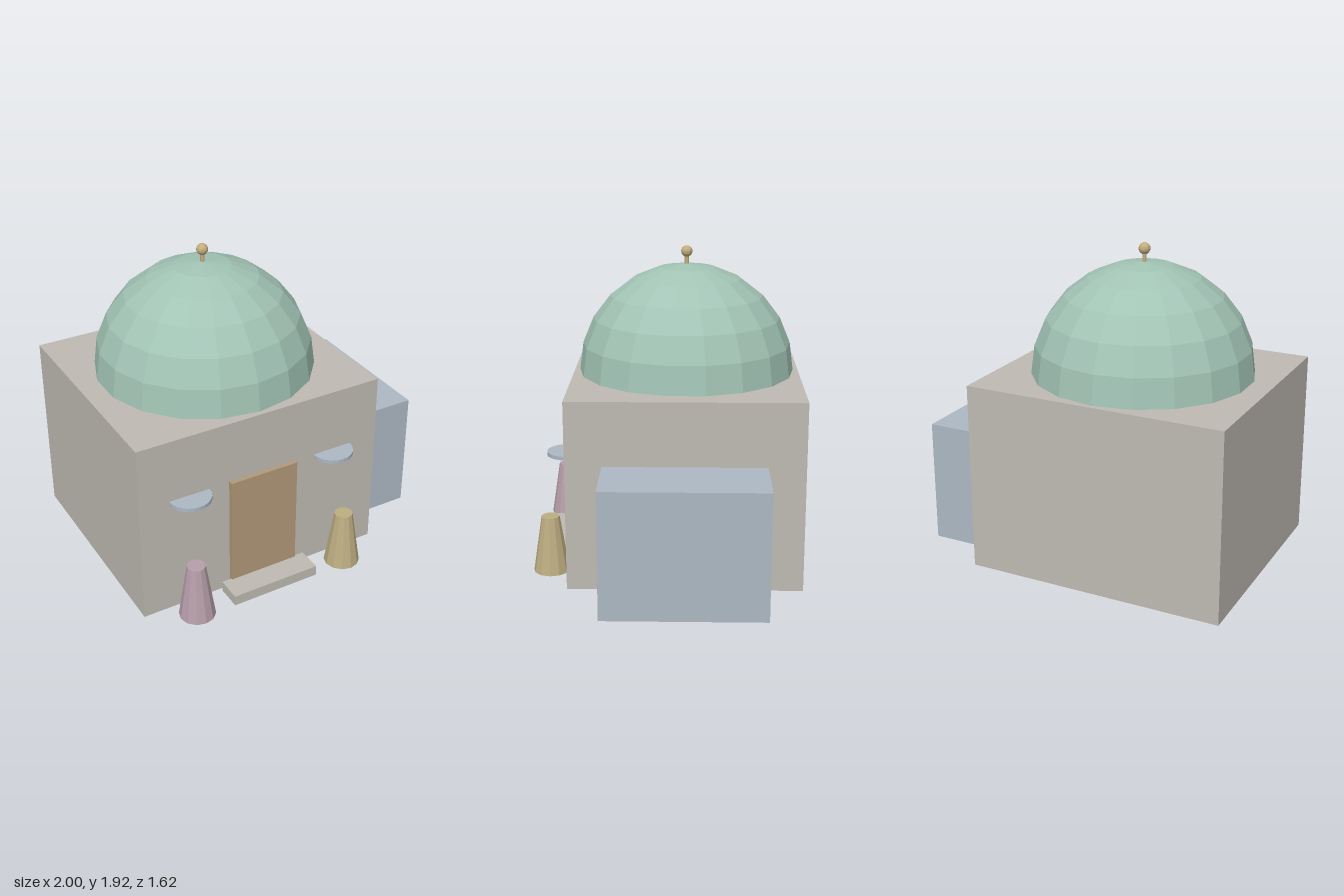
import * as THREE from 'three';

const material = (name, color) => {
  const m = new THREE.MeshStandardMaterial({ color, flatShading: true });
  m.name = name;
  return m;
};

export function createModel() {
  const model = new THREE.Group();
  model.name = 'domedHouse';

  const stone = material('warm grey stone', 0xbfbbb3);
  const green = material('pale green', 0xa2c4b5);
  const blue = material('grey blue', 0xadb9c4);
  const wood = material('tan wood', 0xb2997a);
  const pink = material('dusty pink', 0xb79fab);
  const olive = material('olive gold', 0xbdae82);
  const brass = material('brass', 0xc4ae80);

  const add = (name, geometry, mat, x, y, z) => {
    const mesh = new THREE.Mesh(geometry, mat);
    mesh.name = name;
    mesh.position.set(x, y, z);
    model.add(mesh);
    return mesh;
  };
  // Box given by its limits on each axis
  const box = (name, mat, x0, x1, y0, y1, z0, z1) =>
    add(name, new THREE.BoxGeometry(x1 - x0, y1 - y0, z1 - z0), mat,
      (x0 + x1) / 2, (y0 + y1) / 2, (z0 + z1) / 2);

  const cx = -0.21, cz = -0.115; // axis of the main block and dome
  const roof = 1.145, wallZ = 0.58;

  // Main block, side annex, door and doorstep
  box('mainBlock', stone, -1, 0.58, 0, roof, -0.81, wallZ);
  box('sideAnnex', blue, 0.58, 1, 0, 0.76, -0.59, 0.365);
  box('door', wood, cx - 0.22, cx + 0.22, 0, 0.76, wallZ, 0.61);
  box('doorstep', stone, cx - 0.283, cx + 0.283, 0, 0.065, 0.6, 0.755);

  // Faceted hemisphere with corners on the z axis
  const domeRadius = 0.665;
  const dome = new THREE.SphereGeometry(domeRadius, 18, 6, 0, Math.PI * 2, 0, Math.PI / 2);
  dome.rotateY(Math.PI / 2);
  add('dome', dome, green, cx, roof, cz);

  // Finial on the dome
  add('finialStem', new THREE.CylinderGeometry(0.013, 0.013, 0.07, 8), brass, cx, 1.83, cz);
  add('finialBall', new THREE.SphereGeometry(0.035, 12, 8), brass, cx, 1.885, cz);

  // Awnings and tapered planters, mirrored about the door
  for (const side of [-1, 1]) {
    const label = side < 0 ? 'right' : 'left';
    add(label + 'Awning',
      new THREE.CylinderGeometry(0.128, 0.128, 0.023, 12, 1, false, -Math.PI / 2, Math.PI),
      blue, cx + side * 0.477, 0.746, wallZ + 0.004);
    add(label + 'Planter', new THREE.CylinderGeometry(0.055, 0.109, 0.35, 12),
      side < 0 ? pink : olive, cx + side * 0.505, 0.175, 0.7);
  }

  return model;
}
